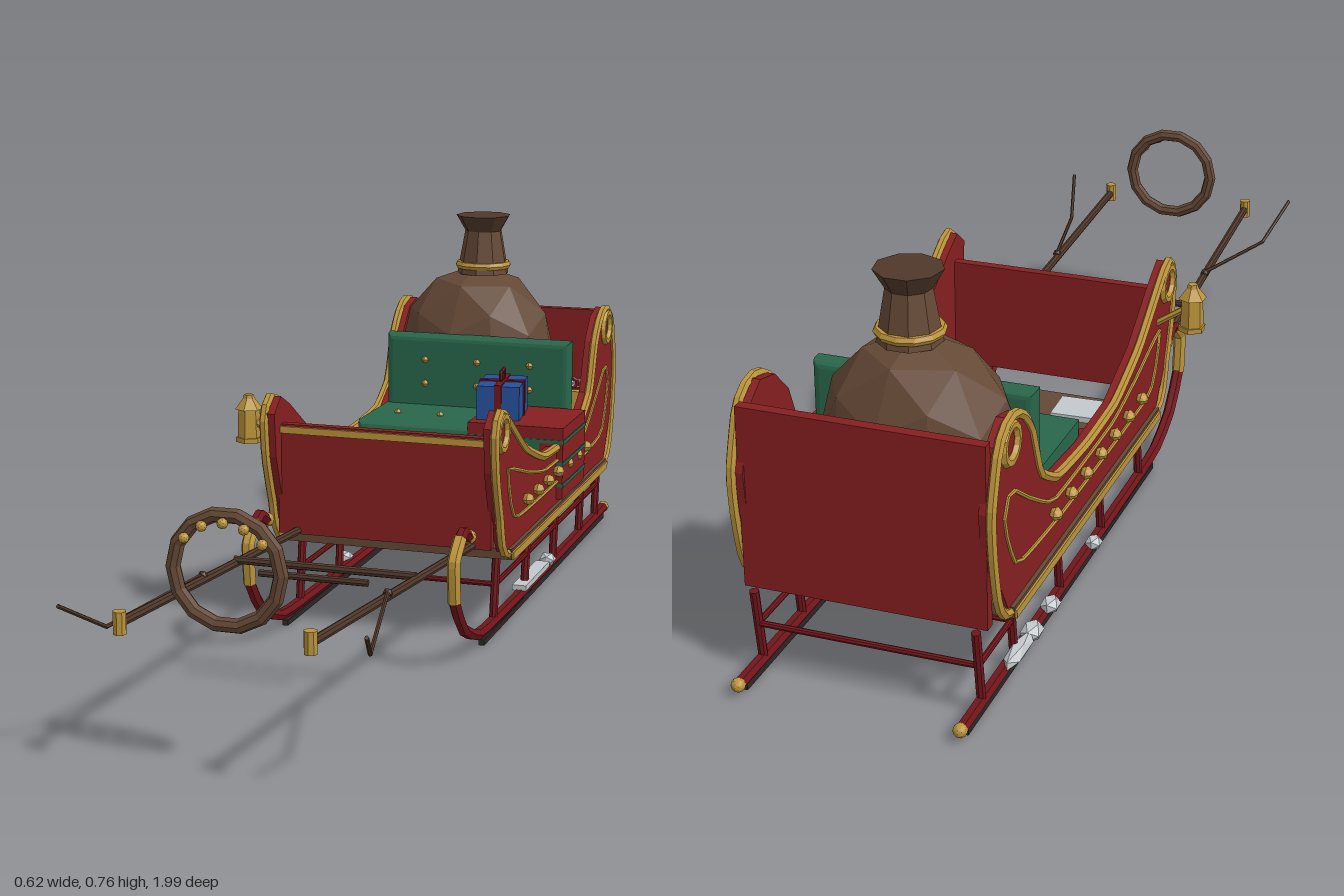
import * as THREE from 'three';

const CX = 0.03; // centre line of the sleigh
const V = (x, y, z) => new THREE.Vector3(x, y, z);
const paint = (name, color) => {
  const m = new THREE.MeshStandardMaterial({ color, flatShading: true });
  m.name = name;
  return m;
};

export function createModel() {
  const red = paint('red', 0x861f20);
  const darkRed = paint('dark red', 0x70151a);
  const gold = paint('gold', 0xbb933a);
  const green = paint('green', 0x28664a);
  const leather = paint('sack brown', 0x644835);
  const wood = paint('dark wood', 0x4f382a);
  const iron = paint('iron', 0x2b2626);
  const blue = paint('blue', 0x264f9a);
  const white = paint('silver white', 0xc3c8cc);

  const root = new THREE.Group();
  root.name = 'sleigh';

  const add = (name, geo, mat, x = 0, y = 0, z = 0, parent = root) => {
    const m = new THREE.Mesh(geo, mat);
    m.name = name;
    m.position.set(x, y, z);
    parent.add(m);
    return m;
  };
  const box = (name, mat, w, h, d, x, y, z, parent) =>
    add(name, new THREE.BoxGeometry(w, h, d), mat, x, y, z, parent);
  // straight round bar between two points
  const rod = (name, mat, a, b, r, sides = 8) => {
    const dir = b.clone().sub(a);
    const mid = a.clone().add(b).multiplyScalar(0.5);
    const m = add(name, new THREE.CylinderGeometry(r, r, dir.length(), sides), mat, mid.x, mid.y, mid.z);
    m.quaternion.setFromUnitVectors(V(0, 1, 0), dir.normalize());
    return m;
  };
  // tube through [z, y] points in the plane of constant x
  const sideTube = (name, mat, pts, x, r, closed = false) => {
    const curve = new THREE.CatmullRomCurve3(pts.map(([z, y]) => V(x, y, z)), closed, 'catmullrom', 0.2);
    return add(name, new THREE.TubeGeometry(curve, pts.length * 5, r, 6, closed), mat);
  };
  // rounded slab for the upholstery
  const cushion = (name, w, h, d, x, y, z) => {
    const b = 0.014, s = new THREE.Shape();
    s.moveTo(-w / 2 + b, -h / 2 + b).lineTo(w / 2 - b, -h / 2 + b);
    s.lineTo(w / 2 - b, h / 2 - b).lineTo(-w / 2 + b, h / 2 - b).closePath();
    const g = new THREE.ExtrudeGeometry(s, {
      depth: d - 2 * b, bevelSize: b, bevelThickness: b, bevelSegments: 3,
    });
    g.translate(0, 0, -d / 2 + b);
    return add(name, g, green, x, y, z);
  };

  // body: floor, front board and back board
  box('floor', leather, 0.5, 0.022, 0.845, CX, 0.171, -0.4);
  box('frontBoard', red, 0.45, 0.228, 0.02, CX, 0.309, 0.08);
  box('frontBoardTrim', gold, 0.44, 0.014, 0.008, CX, 0.412, 0.092);
  box('backBoard', red, 0.46, 0.35, 0.022, CX, 0.35, -0.888);

  const outline = [
    [0.02, 0.172], [0.085, 0.26], [0.12, 0.36], [0.128, 0.45], [0.09, 0.48], [0.04, 0.455],
    [-0.1, 0.365], [-0.25, 0.313], [-0.42, 0.305], [-0.58, 0.318], [-0.67, 0.37], [-0.715, 0.48],
    [-0.765, 0.53], [-0.82, 0.543], [-0.87, 0.51], [-0.905, 0.4], [-0.895, 0.29], [-0.825, 0.172],
  ];
  const stripe = [
    [0.035, 0.35], [-0.12, 0.31], [-0.27, 0.28], [-0.6, 0.28], [-0.73, 0.35], [-0.82, 0.41],
    [-0.85, 0.36], [-0.79, 0.25], [-0.55, 0.232], [-0.03, 0.235],
  ];
  const panel = new THREE.ExtrudeGeometry(
    new THREE.Shape(outline.map(([z, y]) => new THREE.Vector2(z, y))),
    { depth: 0.024, bevelEnabled: false });
  panel.rotateY(-Math.PI / 2).translate(0.012, 0, 0);

  for (const s of [-1, 1]) {
    const side = s < 0 ? 'right' : 'left';
    const at = (d) => CX + s * d;
    const outer = at(0.243);

    // side panel with rim, scrolls, pinstripe and studs
    add(side + 'Panel', panel, red, at(0.23));
    sideTube(side + 'Rim', gold, outline, at(0.241), 0.0095, true);
    sideTube(side + 'Pinstripe', gold, stripe, outer, 0.0045, true);
    for (const [z, y] of [[0.083, 0.435], [-0.82, 0.497]]) {
      add(side + 'Scroll', new THREE.TorusGeometry(0.034, 0.0095, 6, 12), gold, outer, y, z).rotation.y = Math.PI / 2;
    }
    for (let i = 0; i < 7; i++) {
      const stud = add(side + 'Stud', new THREE.OctahedronGeometry(0.013, 1), gold, at(0.251), 0.258, -0.1 - i * 0.085);
      stud.scale.z = 1.2;
    }
    box(side + 'SillTrim', gold, 0.012, 0.016, 0.84, at(0.248), 0.168, -0.4);

    // runner with gold sleeve, curled end and iron shoe
    const rx = at(0.21);
    sideTube(side + 'Runner', darkRed, [[-0.985, 0.022], [-0.4, 0.022], [0.11, 0.028], [0.235, 0.075], [0.295, 0.15]], rx, 0.012);
    sideTube(side + 'RunnerSleeve', gold, [[0.292, 0.143], [0.298, 0.225], [0.257, 0.262]], rx, 0.0135);
    sideTube(side + 'RunnerCurl', darkRed, [[0.263, 0.258], [0.235, 0.269], [0.2, 0.25]], rx, 0.012);
    add(side + 'CurlTip', new THREE.IcosahedronGeometry(0.015, 1), gold, rx, 0.25, 0.195);
    add(side + 'RunnerEnd', new THREE.IcosahedronGeometry(0.0135, 1), gold, rx, 0.023, -0.982);
    box(side + 'RunnerShoe', iron, 0.012, 0.012, 1.06, rx, 0.006, -0.43);

    // struts and lower rail
    [0, -0.245, -0.49, -0.735, -0.895].forEach((z) => {
      rod(side + 'Strut', darkRed, V(rx, 0.026, z + 0.012), V(rx, 0.17, z - 0.008), 0.009);
      if (s > 0) rod('crossBar', darkRed, V(CX - 0.21, 0.1, z), V(CX + 0.21, 0.1, z), 0.006);
    });
    rod(side + 'LowerRail', darkRed, V(rx, 0.1, 0), V(rx, 0.1, -0.895), 0.006);

    // shaft, gold tip and trace
    rod(side + 'Shaft', wood, V(at(0.185), 0.2, 0.07), V(at(0.17), 0.27, 0.975), 0.0085);
    add(side + 'ShaftTip', new THREE.CylinderGeometry(0.012, 0.012, 0.04, 8), gold, at(0.17), 0.271, 0.975);
    const trace = [V(at(0.178), 0.25, 0.6), V(at(0.24), 0.228, 0.88), V(at(0.273), 0.295, 0.995)];
    for (let i = 0; i < 2; i++) rod(side + 'Trace', wood, trace[i], trace[i + 1], 0.004, 6);
    add(side + 'TraceRing', new THREE.IcosahedronGeometry(0.01, 0), wood, at(0.178), 0.248, 0.6);
  }

  // bars between the shafts
  rod('shaftCrossBar', wood, V(CX - 0.18, 0.235, 0.44), V(CX + 0.18, 0.235, 0.44), 0.008);
  rod('swingBar', wood, V(CX - 0.107, 0.232, 0.5), V(CX + 0.107, 0.232, 0.5), 0.007);

  // collar ring with bells
  add('collar', new THREE.TorusGeometry(0.097, 0.0135, 8, 14), leather, CX, 0.36, 0.915);
  for (const a of [-0.85, -0.42, 0, 0.42, 0.85]) {
    add('collarBell', new THREE.IcosahedronGeometry(0.0095, 1), gold,
      CX + Math.sin(a) * 0.093, 0.355 + Math.cos(a) * 0.09, 0.931);
  }

  // bench with gold buttons
  cushion('seat', 0.43, 0.15, 0.23, CX, 0.26, -0.485);
  cushion('backrest', 0.43, 0.31, 0.045, CX, 0.342, -0.605);
  for (const x of [-0.123, 0, 0.123]) {
    for (const y of [0.385, 0.44]) {
      add('backButton', new THREE.OctahedronGeometry(0.008, 1), gold, CX + x, y, -0.581);
    }
  }
  for (const x of [-0.125, -0.025]) {
    add('seatButton', new THREE.OctahedronGeometry(0.008, 1), gold, x, 0.336, -0.48);
  }

  // sack
  const sack = new THREE.Group();
  sack.name = 'sack';
  sack.position.set(-0.002, 0, -0.74);
  root.add(sack);
  add('sackBody', new THREE.IcosahedronGeometry(1, 1).rotateY(0.4).scale(0.187, 0.215, 0.143), leather, -0.013, 0.427, 0, sack);
  add('sackNeck', new THREE.CylinderGeometry(0.042, 0.06, 0.1, 9), leather, 0, 0.673, 0, sack);
  add('sackMouth', new THREE.CylinderGeometry(0.063, 0.042, 0.036, 9), wood, 0, 0.739, 0, sack);
  add('sackTie', new THREE.TorusGeometry(0.056, 0.009, 6, 12), gold, 0, 0.643, 0, sack).rotation.x = Math.PI / 2;

  // wrapped presents: box, crossed ribbons and bow
  const present = (mat, ribbon, w, h, d, x, y, z, turn) => {
    const g = new THREE.Group();
    g.name = 'present';
    g.position.set(x, y, z);
    g.rotation.y = turn;
    root.add(g);
    box('wrapping', mat, w, h, d, 0, h / 2, 0, g);
    box('ribbonAcross', ribbon, w + 0.006, h + 0.006, 0.016, 0, h / 2, 0, g);
    box('ribbonAlong', ribbon, 0.016, h + 0.006, d + 0.006, 0, h / 2, 0, g);
    for (const s of [-1, 1]) {
      const loop = add('bowLoop', new THREE.TorusGeometry(0.012, 0.004, 5, 8), ribbon, s * 0.012, h + 0.012, 0, g);
      loop.rotation.z = s * 0.5;
      loop.scale.x = 1.3;
    }
  };
  box('largePresent', red, 0.215, 0.158, 0.205, 0.178, 0.27, -0.473);
  for (const y of [0.222, 0.27, 0.318]) box('largePresentBand', green, 0.219, 0.008, 0.209, 0.178, y, -0.473);
  present(blue, darkRed, 0.135, 0.075, 0.095, 0.12, 0.349, -0.475, Math.PI / 2 + 0.12);
  present(red, gold, 0.18, 0.075, 0.1, -0.08, 0.182, -0.318, 0.05);
  present(blue, white, 0.12, 0.065, 0.085, 0.075, 0.182, -0.25, 0.4);
  present(green, red, 0.1, 0.075, 0.075, 0.175, 0.182, -0.325, -0.15);
  present(red, white, 0.09, 0.16, 0.085, 0.2, 0.182, -0.815, 0.25);
  present(gold, red, 0.07, 0.18, 0.065, 0.2, 0.182, -0.735, 0.1);
  box('silverPlate', white, 0.145, 0.012, 0.085, -0.097, 0.189, -0.055).rotation.y = 0.04;

  // lantern on its bracket
  const lantern = (name, top, bottom, h, y) =>
    add(name, new THREE.CylinderGeometry(top, bottom, h, 6), gold, -0.284, y, 0.025);
  lantern('lanternBase', 0.028, 0.028, 0.01, 0.371);
  lantern('lanternBody', 0.022, 0.024, 0.06, 0.406);
  lantern('lanternRoof', 0.012, 0.029, 0.022, 0.446);
  lantern('lanternCap', 0.01, 0.012, 0.008, 0.461);
  rod('lanternArm', gold, V(-0.27, 0.41, 0.025), V(-0.21, 0.37, 0.025), 0.007, 6);

  // snow clumps and an ice slab on the runners
  const snow = (x, z, len, r) => add('snowClump',
    new THREE.IcosahedronGeometry(1, 0).scale(r, r * 0.85, len), white, x, 0.037, z);
  for (const [z, len, r] of [[-0.73, 0.07, 0.018], [-0.66, 0.03, 0.022], [-0.56, 0.025, 0.02], [-0.31, 0.02, 0.018]]) snow(-0.192, z, len, r);
  snow(CX + 0.211, -0.43, 0.018, 0.02);
  box('iceSlab', white, 0.03, 0.012, 0.2, CX + 0.21, 0.038, -0.29);

  return root;
}
